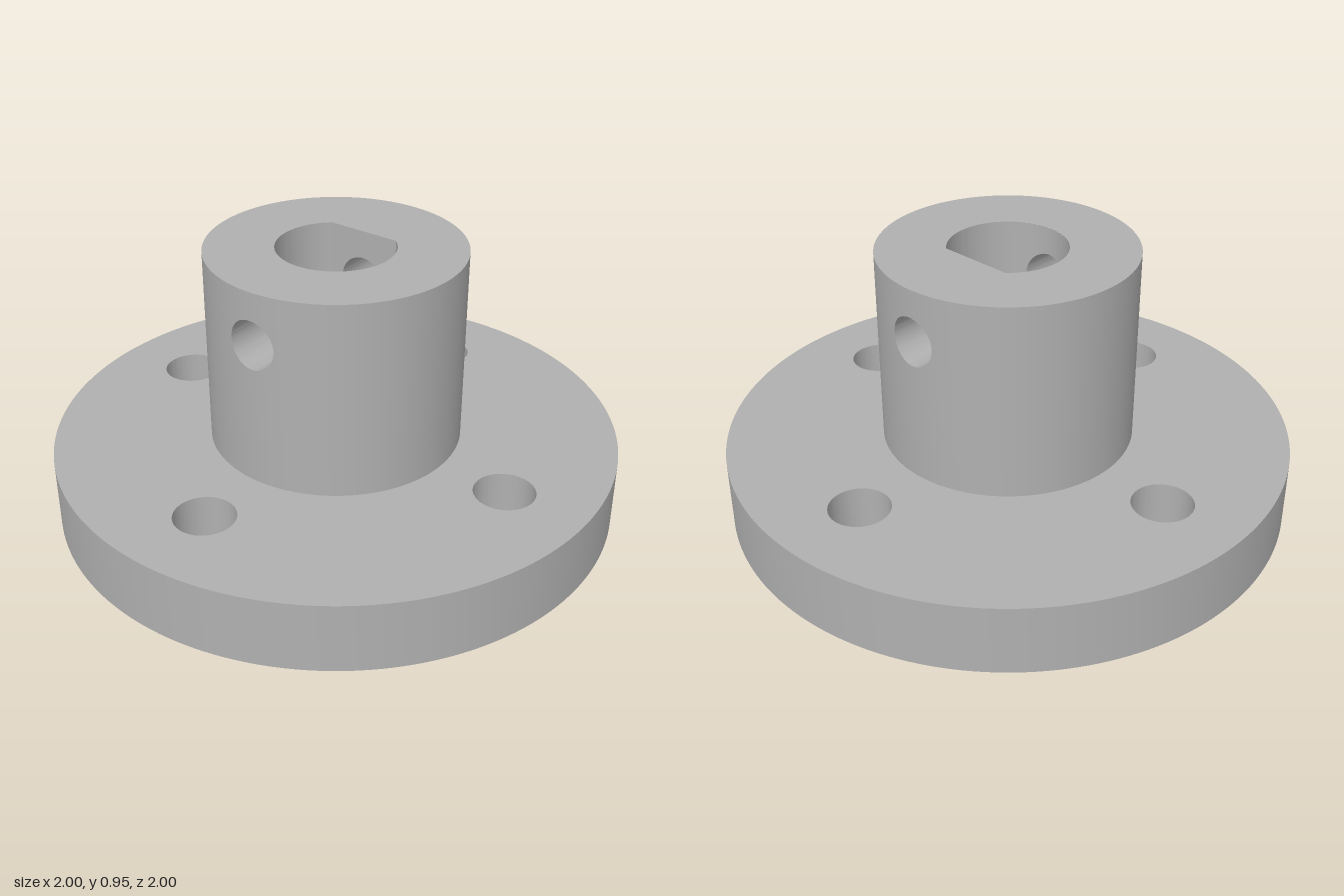
import * as THREE from 'three';
import { mergeGeometries, toCreasedNormals } from 'three/addons/utils/BufferGeometryUtils.js';

const FLANGE_R = 1, FLANGE_H = 0.25, TOP = 0.95;
const HUB_R = 0.447, BORE_R = 0.206, FLAT_X = 0.155;
const BOLT_R = 0.105, BOLT_CIRCLE = 0.7;
const SCREW_R = 0.087, SCREW_Y = 0.763;
const FLAT_HALF = Math.sqrt(BORE_R ** 2 - FLAT_X ** 2);

// Surface through a grid of points, rows[i][j]
function sheet(rows, flip) {
  const n = rows[0].length, index = [];
  for (let i = 0; i < rows.length - 1; i++) {
    for (let j = 0; j < n - 1; j++) {
      const a = i * n + j, b = a + 1, c = a + n, d = c + 1;
      if (flip) index.push(a, c, b, b, c, d);
      else index.push(a, b, c, b, d, c);
    }
  }
  const geo = new THREE.BufferGeometry();
  geo.setAttribute('position', new THREE.Float32BufferAttribute(rows.flat(2), 3));
  geo.setIndex(index);
  return geo.toNonIndexed();
}

// Angles round the screw hole, including the corners of the panel
function panelAngles(w) {
  const angles = [];
  for (let i = 0; i <= 64; i++) angles.push((i / 64) * Math.PI * 2);
  for (const z of [-w, w]) {
    for (const y of [FLANGE_H, TOP]) {
      angles.push((Math.atan2(y - SCREW_Y, z) + Math.PI * 2) % (Math.PI * 2));
    }
  }
  return angles.sort((a, b) => a - b);
}

// Upright panel |z| < w with a round hole, bent to the depth function
function holedPanel(w, depth, flip) {
  const rows = [], steps = 10;
  for (let i = 0; i <= steps; i++) {
    rows.push(panelAngles(w).map((a) => {
      const c = Math.cos(a), s = Math.sin(a);
      const edgeY = s > 0 ? TOP - SCREW_Y : SCREW_Y - FLANGE_H;
      const edge = Math.min(w / Math.max(Math.abs(c), 1e-6), edgeY / Math.max(Math.abs(s), 1e-6));
      const r = SCREW_R + (edge - SCREW_R) * (i / steps);
      return [depth(c * r), SCREW_Y + s * r, c * r];
    }));
  }
  return sheet(rows, flip);
}

// Cylindrical wall between the two panels, centred on angle mid
function arcWall(r, w, mid, flip) {
  const half = Math.PI / 2 - Math.asin(w / r), steps = 40;
  const rows = [FLANGE_H, TOP].map((y) => {
    const row = [];
    for (let j = 0; j <= steps; j++) {
      const t = mid - half + (2 * half * j) / steps;
      row.push([r * Math.sin(t), y, r * Math.cos(t)]);
    }
    return row;
  });
  return sheet(rows, flip);
}

// Round bore with one flat on the +x side
function boreOutline() {
  const a = Math.acos(FLAT_X / BORE_R);
  const path = new THREE.Path();
  path.absarc(0, 0, BORE_R, a, Math.PI * 2 - a, false);
  path.closePath();
  return path;
}

function disc(r) {
  const shape = new THREE.Shape();
  shape.absarc(0, 0, r, 0, Math.PI * 2, false);
  shape.holes.push(boreOutline());
  return shape;
}

function flangeGeometry() {
  const shape = disc(FLANGE_R);
  for (let i = 0; i < 4; i++) {
    const a = (i * Math.PI) / 2;
    const hole = new THREE.Path();
    hole.absarc(BOLT_CIRCLE * Math.cos(a), BOLT_CIRCLE * Math.sin(a), BOLT_R, 0, Math.PI * 2, true);
    shape.holes.push(hole);
  }
  const geo = new THREE.ExtrudeGeometry(shape, { depth: FLANGE_H, bevelEnabled: false, curveSegments: 96 });
  geo.rotateX(-Math.PI / 2);
  return toCreasedNormals(geo, 0.5);
}

function hubGeometry() {
  const outer = (z) => Math.sqrt(HUB_R ** 2 - z * z);
  const round = (z) => Math.sqrt(Math.max(0, BORE_R ** 2 - z * z));
  const parts = [];
  for (const side of [1, -1]) {
    const inner = side > 0 ? () => FLAT_X : round;
    const mid = side > 0 ? 0 : Math.PI;
    // outer wall and bore wall
    parts.push(holedPanel(0.2, (z) => side * outer(z), side < 0));
    parts.push(holedPanel(FLAT_HALF, (z) => side * inner(z), side > 0));
    parts.push(arcWall(HUB_R, 0.2, mid, false));
    parts.push(arcWall(BORE_R, FLAT_HALF, mid, true));
    // set screw hole through the wall
    const tunnel = [inner, outer].map((depth) => panelAngles(0.2).map((a) => {
      const z = SCREW_R * Math.cos(a);
      return [side * depth(z), SCREW_Y + SCREW_R * Math.sin(a), z];
    }));
    parts.push(sheet(tunnel, side < 0));
  }
  // top face
  const cap = new THREE.ShapeGeometry(disc(HUB_R), 96).toNonIndexed();
  cap.rotateX(-Math.PI / 2).translate(0, TOP, 0);
  cap.deleteAttribute('uv');
  cap.deleteAttribute('normal');
  parts.push(cap);
  return toCreasedNormals(mergeGeometries(parts), 0.5);
}

export function createModel() {
  const steel = new THREE.MeshStandardMaterial({ color: 0xb0b0b0 });
  steel.name = 'grey metal';
  const group = new THREE.Group();
  group.name = 'flangeCoupling';
  const add = (name, geo) => {
    const mesh = new THREE.Mesh(geo, steel);
    mesh.name = name;
    group.add(mesh);
  };
  add('flange', flangeGeometry());
  add('hub', hubGeometry());
  return group;
}
